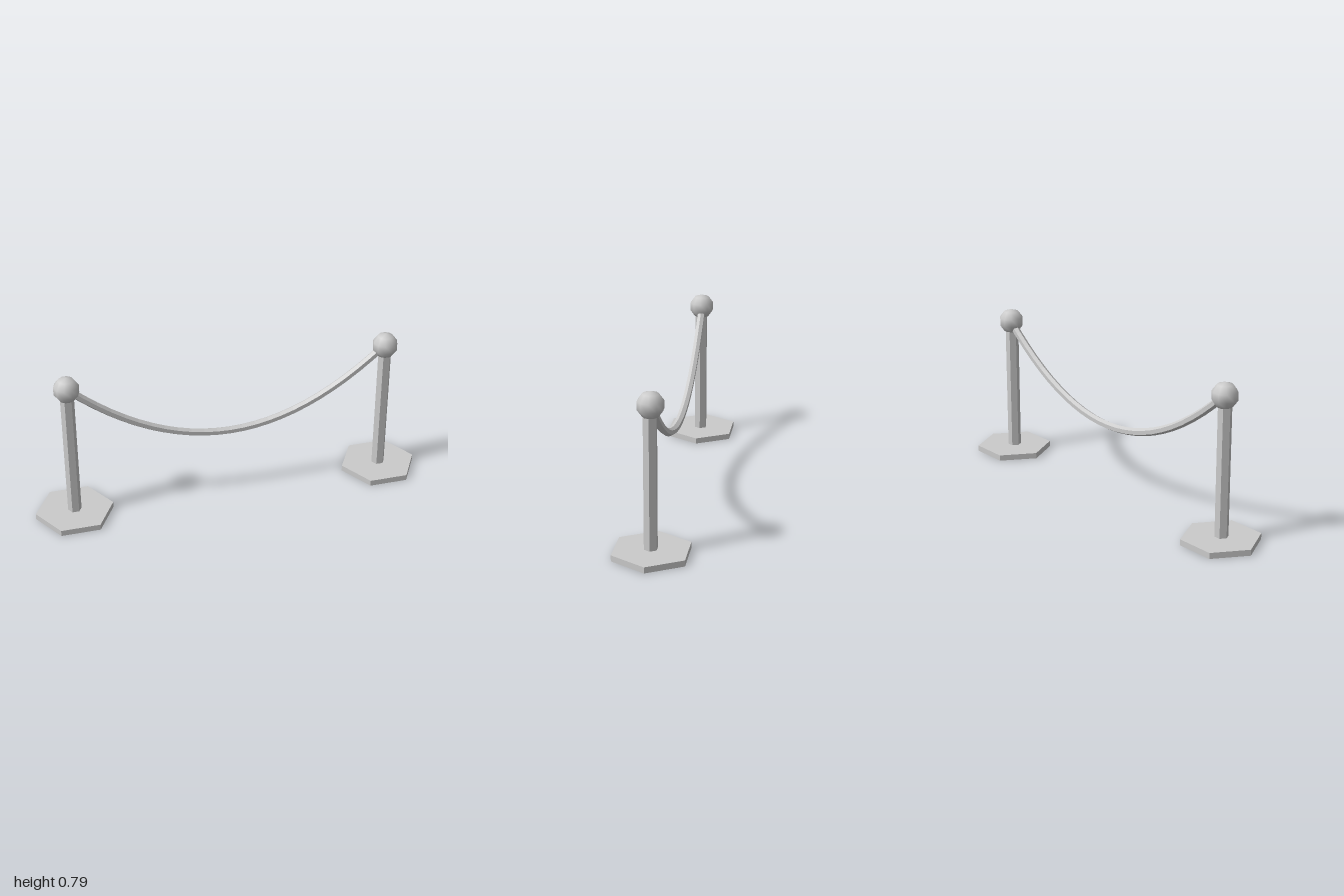
import * as THREE from 'three';

const flat = new THREE.MeshStandardMaterial({ color: 0xcccccc, flatShading: true });
const smooth = new THREE.MeshStandardMaterial({ color: 0xcccccc });

const POST_X = 0.804;   // distance of each post from the centre
const KNOB_Y = 0.726;   // height of the knob centres
const SAG_Y = 0.357;    // lowest point of the rope

function part(name, geometry, material, y, z = 0) {
  const mesh = new THREE.Mesh(geometry, material);
  mesh.name = name;
  mesh.position.set(0, y, z);
  return mesh;
}

// Hexagonal prism with corners on the x axis
function hexPrism(radius, height) {
  return new THREE.CylinderGeometry(radius, radius, height, 6, 1, false, Math.PI / 2);
}

// Hexagonal foot, slim pole and round knob
function makePost(name, x) {
  const post = new THREE.Group();
  post.name = name;
  post.position.x = x;
  post.add(
    part('base', hexPrism(0.196, 0.03), flat, 0.015),
    part('pole', hexPrism(0.034, 0.65), flat, 0.355, 0.003),
    part('knob', new THREE.SphereGeometry(0.065, 10, 5), smooth, KNOB_Y)
  );
  return post;
}

// Six-sided rod bent along a parabola between the knobs
function makeRope() {
  const geometry = new THREE.CylinderGeometry(0.02, 0.02, POST_X * 2, 6, 24, false, Math.PI / 2);
  geometry.rotateZ(Math.PI / 2);
  const bend = (KNOB_Y - SAG_Y) / (POST_X * POST_X);
  const pos = geometry.attributes.position;
  for (let i = 0; i < pos.count; i++) {
    const s = pos.getX(i), n = pos.getY(i);
    const angle = Math.atan(2 * bend * s);
    pos.setX(i, s - n * Math.sin(angle));
    pos.setY(i, bend * s * s + n * Math.cos(angle));
  }
  geometry.computeVertexNormals();
  return part('rope', geometry, flat, SAG_Y, -0.003);
}

export function createModel() {
  const model = new THREE.Group();
  model.name = 'ropeBarrier';
  model.add(makePost('leftPost', POST_X), makePost('rightPost', -POST_X), makeRope());
  return model;
}
